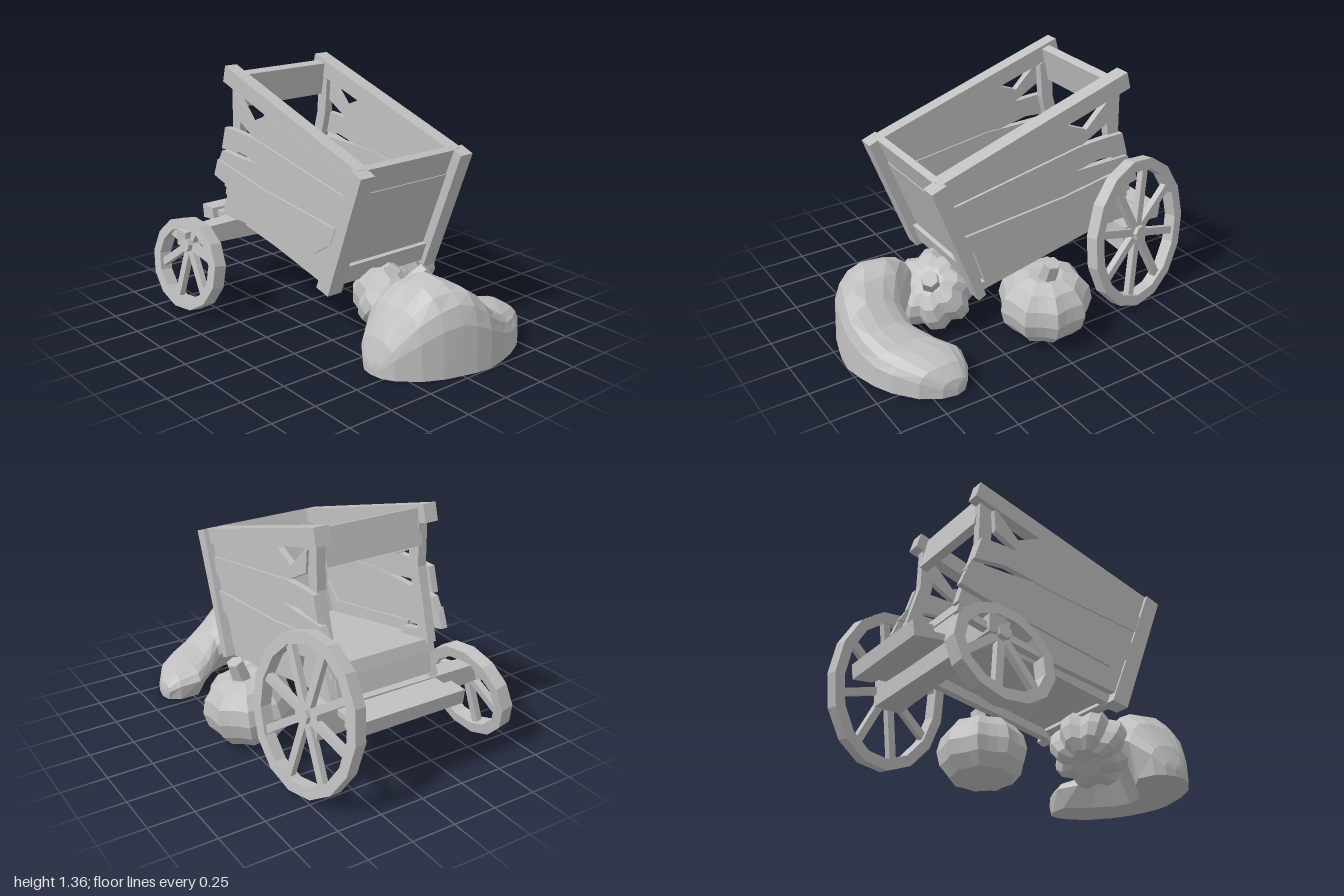
import * as THREE from 'three';

export function createModel() {
  const root = new THREE.Group();
  root.name = 'brokenHarvestCart';
  const grey = new THREE.MeshStandardMaterial({ color: 0xc0c0c0, flatShading: true });
  grey.name = 'weathered grey';

  const add = (name, geometry, parent = root) => {
    const mesh = new THREE.Mesh(geometry, grey);
    mesh.name = name;
    parent.add(mesh);
    return mesh;
  };
  // Side profile in x/y, extruded between two depths
  const slab = (name, points, z0, z1) => {
    const shape = new THREE.Shape(points.map(p => new THREE.Vector2(...p)));
    const g = new THREE.ExtrudeGeometry(shape, { depth: z1 - z0, bevelEnabled: false });
    g.translate(0, 0, z0);
    return add(name, g);
  };

  // Splintered side planks, fanning out towards the open end
  const planks = [
    [[-0.49, 1.22], [-0.47, 1.22], [-0.34, 1.09], [-0.22, 1.14], [-0.2, 1.16], [0.5, 0.97], [0.47, 0.85], [-0.3, 1.0], [-0.48, 1.1]],
    [[-0.57, 1.02], [-0.47, 1.02], [-0.3, 1.01], [0.47, 0.87], [0.44, 0.77], [-0.15, 0.85], [-0.42, 0.905], [-0.61, 0.89]],
    [[-0.62, 0.875], [-0.42, 0.87], [-0.15, 0.87], [0.44, 0.79], [0.4, 0.675], [-0.2, 0.735], [-0.66, 0.81]],
    [[-0.65, 0.82], [-0.2, 0.745], [0.41, 0.69], [0.37, 0.6], [0.24, 0.515], [-0.4, 0.645], [-0.69, 0.72]],
    [[-0.43, 0.67], [0.24, 0.53], [0.36, 0.62], [0.28, 0.38], [-0.4, 0.49]],
  ];
  const sides = [
    { name: 'front', plank: 0.302, rail: [0.26, 0.335], post: [0.265, 0.355], inner: [0.255, 0.305], foot: [0.25, 0.33] },
    { name: 'back', plank: -0.352, rail: [-0.37, -0.285], post: [-0.395, -0.31], inner: [-0.34, -0.29], foot: [0.3, 0.33] },
  ];
  for (const s of sides) {
    planks.forEach((p, i) => {
      const shift = ((i % 2) * 0.014 + (i > 1 ? 0.006 : 0)) * Math.sign(s.plank);
      slab(s.name + 'SidePlank' + (i + 1), p, s.plank + shift, s.plank + shift + 0.036);
    });
    const foot = s.foot[0];
    slab(s.name + 'TopRail', [[-0.6, 1.27], [-0.575, 1.36], [0.54, 1.015], [0.5, 0.94]], ...s.rail);
    slab(s.name + 'BottomRail', [[-0.43, 0.53], [0.3, 0.37], [0.31, 0.32], [-0.42, 0.47]], ...s.inner);
    slab(s.name + 'CornerPost', [[foot, s.foot[1]], [0.345, s.foot[1] - 0.02], [0.6, 0.99], [0.52, 1.02]], ...s.post);
    slab(s.name + 'EndPost', [[-0.555, 1.26], [-0.47, 1.23], [-0.49, 1.02], [-0.6, 0.62], [-0.67, 0.65], [-0.56, 1.03]], ...s.inner);
    slab(s.name + 'AxleBracket', [[-0.6, 0.7], [-0.45, 0.66], [-0.41, 0.48], [-0.7, 0.47]], ...s.inner);
  }

  // Floor, closed end and the crossbar over the open end
  slab('floor', [[-0.65, 0.665], [0.32, 0.445], [0.3, 0.38], [-0.67, 0.6]], -0.32, 0.3);
  slab('floorEndBoard', [[-0.66, 0.61], [-0.62, 0.61], [-0.65, 0.49], [-0.69, 0.49]], -0.3, 0.27);
  slab('endLowerPlank', [[0.27, 0.4], [0.315, 0.385], [0.5, 0.87], [0.455, 0.885]], -0.33, 0.29);
  slab('endUpperPlank', [[0.462, 0.885], [0.495, 0.87], [0.55, 1.01], [0.515, 1.025]], -0.33, 0.29);
  slab('endFootPlank', [[0.28, 0.36], [0.33, 0.345], [0.365, 0.45], [0.32, 0.46]], -0.31, 0.27);
  slab('crossbar', [[-0.53, 1.33], [-0.485, 1.315], [-0.525, 1.13], [-0.57, 1.145]], -0.29, 0.27);
  slab('rearBoard', [[-0.91, 0.48], [-0.8, 0.48], [-0.79, 0.41], [-0.9, 0.4]], -0.33, 0.31);
  slab('rearBoardLedge', [[-0.8, 0.465], [-0.71, 0.465], [-0.71, 0.43], [-0.8, 0.43]], -0.32, 0.28);

  // Axle, narrowing towards the fallen wheel
  const axle = add('axle', new THREE.CylinderGeometry(0.065, 0.112, 1.06, 4).rotateY(Math.PI / 4).rotateX(Math.PI / 2));
  axle.position.set(-0.64, 0.405, 0.09);

  // Faceted wheel with spokes meeting at a hub that may sit off centre
  function wheel(name, { rx, ry, rim, width, spokes, hubY, sides: n }) {
    const group = new THREE.Group();
    group.name = name;
    const ring = (a, b) => Array.from({ length: n }, (_, i) => {
      const t = (i + 0.5) / n * Math.PI * 2;
      return new THREE.Vector2(a * Math.cos(t), b * Math.sin(t));
    });
    const shape = new THREE.Shape(ring(rx, ry));
    shape.holes.push(new THREE.Path(ring(rx - rim, ry - rim).reverse()));
    add('rim', new THREE.ExtrudeGeometry(shape, { depth: width, bevelEnabled: false }).translate(0, 0, -width / 2), group);
    add('hub', new THREE.CylinderGeometry(0.04, 0.045, width * 1.2, 7).rotateX(Math.PI / 2), group).position.y = hubY;
    for (let i = 0; i < spokes; i++) {
      const t = (i + 0.3) / spokes * Math.PI * 2;
      const x = (rx - rim * 0.6) * Math.cos(t), y = (ry - rim * 0.6) * Math.sin(t) - hubY;
      const spoke = add('spoke', new THREE.BoxGeometry(Math.hypot(x, y), 0.042, 0.036), group);
      spoke.position.set(x / 2, hubY + y / 2, 0);
      spoke.rotation.z = Math.atan2(y, x);
    }
    root.add(group);
    return group;
  }
  const small = wheel('frontWheel', { rx: 0.29, ry: 0.26, rim: 0.06, width: 0.075, spokes: 6, hubY: 0.11, sides: 13 });
  small.position.set(-0.605, 0.265, 0.6);
  small.rotation.set(-0.17, 0.08, 0);
  const large = wheel('backWheel', { rx: 0.365, ry: 0.43, rim: 0.06, width: 0.07, spokes: 8, hubY: 0, sides: 15 });
  large.position.set(-0.64, 0.438, -0.445);
  large.rotation.set(0.12, 0.19, 0);

  // Ribbed pumpkin with dimpled poles and a stubby flared stem
  function pumpkin(name, radius, height, lobes) {
    const group = new THREE.Group();
    group.name = name;
    const g = new THREE.SphereGeometry(1, lobes * 3, 8);
    const p = g.attributes.position;
    for (let i = 0; i < p.count; i++) {
      const x = p.getX(i), y = p.getY(i), z = p.getZ(i);
      const flat = Math.hypot(x, z);
      const groove = Math.abs(Math.sin(Math.atan2(z, x) * lobes / 2));
      const k = radius * (0.86 + 0.18 * groove);
      p.setXYZ(i, x * k, height * y * (0.8 + 0.24 * Math.min(1, flat * 1.6)), z * k);
    }
    add('ribbedBody', g, group);
    const stem = add('stem', new THREE.CylinderGeometry(0.045, 0.055, 0.14, 6), group);
    stem.position.set(0.01, height * 0.8 + 0.045, -0.035);
    stem.rotation.x = -0.25;
    root.add(group);
    return group;
  }
  const big = pumpkin('largePumpkin', 0.245, 0.205, 9);
  big.position.set(-0.04, 0.205, -0.437);
  big.rotation.set(-0.08, 0.2, -0.05);
  const little = pumpkin('smallPumpkin', 0.225, 0.17, 8);
  little.position.set(0.4, 0.205, -0.03);
  little.rotation.set(-0.05, 0.6, -0.7);

  // Crescent-shaped slumped sack with a flat base: z, inner x, outer x, height, inner x at the base
  const sections = [
    [-0.655, 0.63, 0.63, 0.04, 0.63], [-0.64, 0.56, 0.71, 0.09, 0.58], [-0.58, 0.52, 0.81, 0.15, 0.54],
    [-0.47, 0.49, 0.9, 0.18, 0.54], [-0.37, 0.56, 0.95, 0.2, 0.66], [-0.27, 0.64, 0.98, 0.26, 0.75],
    [-0.17, 0.65, 1.0, 0.35, 0.79], [-0.08, 0.57, 0.99, 0.43, 0.77], [0, 0.49, 0.97, 0.455, 0.71],
    [0.1, 0.47, 0.94, 0.425, 0.6], [0.2, 0.47, 0.89, 0.335, 0.53],
    [0.3, 0.54, 0.8, 0.18, 0.56], [0.335, 0.6, 0.74, 0.08, 0.61], [0.345, 0.67, 0.67, 0.04, 0.67],
  ];
  const steps = 10, verts = [], index = [];
  sections.forEach(([z, x0, x1, h, base], r) => {
    for (let j = 0; j < steps; j++) {
      const t = j / (steps - 1) * Math.PI;
      const c = Math.cos(t), lump = 1 + 0.02 * Math.sin(r * 2.3 + j * 1.7) * Math.sin(t);
      const x = (x0 + x1) / 2 + (x1 - x0) / 2 * Math.sign(c) * Math.abs(c) ** 0.75;
      verts.push(j === steps - 1 ? base : x, h * Math.max(0, Math.sin(t)) ** 0.5 * lump, z);
    }
    if (r === 0) return;
    for (let j = 0; j < steps; j++) {
      const k = (j + 1) % steps, a = (r - 1) * steps, b = r * steps;
      index.push(a + j, a + k, b + j, a + k, b + k, b + j);
    }
  });
  const sack = new THREE.BufferGeometry();
  sack.setAttribute('position', new THREE.Float32BufferAttribute(verts, 3));
  sack.setIndex(index);
  sack.computeVertexNormals();
  add('slumpedSack', sack);

  return root;
}
